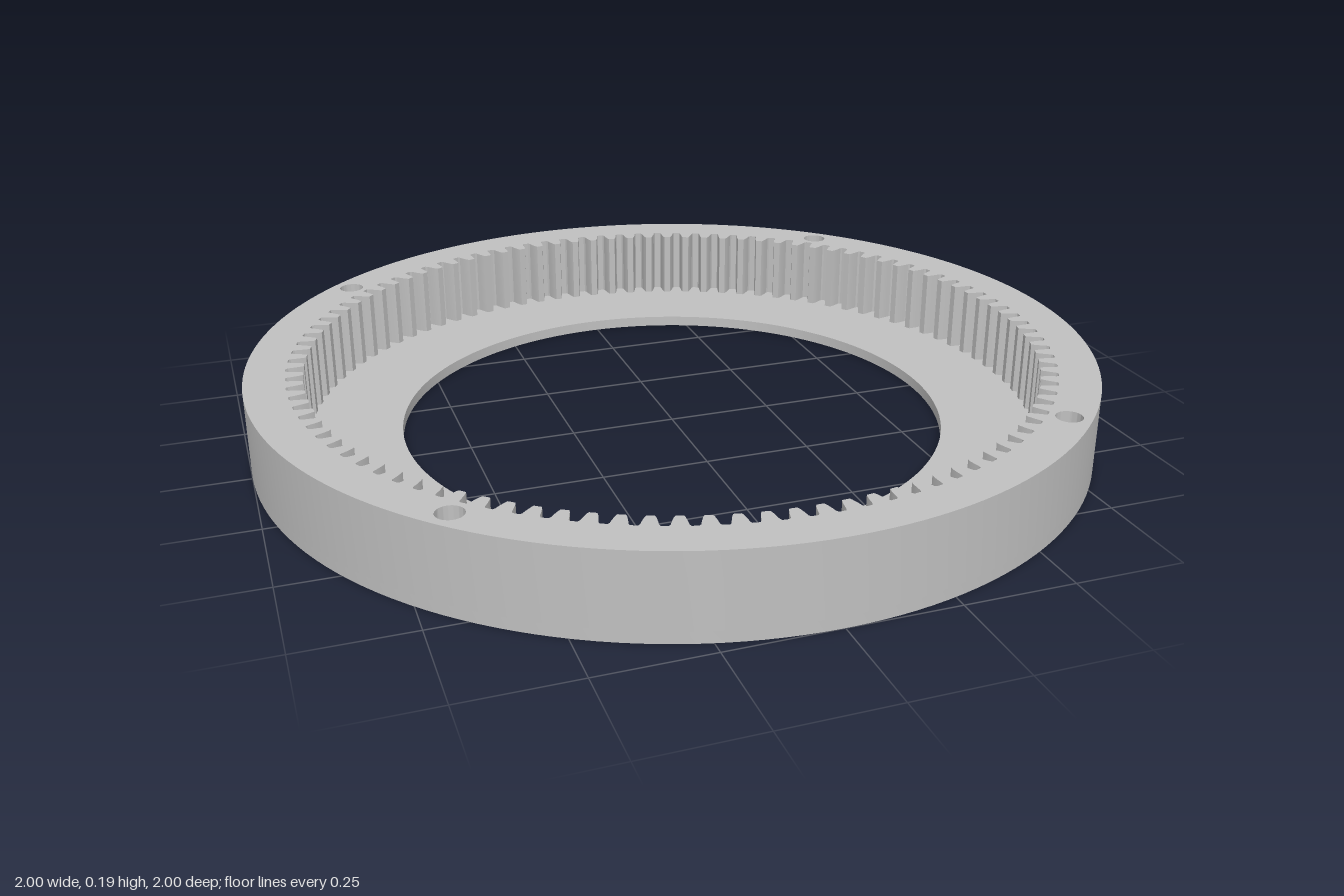
import * as THREE from 'three';
import { toCreasedNormals } from 'three/addons/utils/BufferGeometryUtils.js';

const HEIGHT = 0.195, FLOOR = 0.026, TEETH = 100;
const TIP = 0.866, ROOT = 0.906;

function circle(radius, x = 0, y = 0) {
  return new THREE.Path().absarc(x, y, radius, 0, Math.PI * 2, true);
}

// Closed toothed outline of the internal gear
function toothedOutline() {
  const step = (Math.PI * 2) / TEETH;
  // [fraction of one pitch, radius], tooth tip centred on zero
  const profile = [
    [-0.15, TIP], [0.15, TIP], [0.2, TIP + 0.006], [0.27, 0.888],
    [0.31, ROOT - 0.005], [0.37, ROOT], [0.63, ROOT], [0.69, ROOT - 0.005],
    [0.73, 0.888], [0.8, TIP + 0.006],
  ];
  const points = [];
  for (let i = 0; i < TEETH; i++) {
    for (const [f, r] of profile) {
      const a = (i + f) * step;
      points.push(new THREE.Vector2(Math.cos(a) * r, Math.sin(a) * r));
    }
  }
  return new THREE.Path(points);
}

// Flat disc with the given opening and four screw holes, raised upwards
function plate(opening, bottom, top) {
  const shape = new THREE.Shape().absarc(0, 0, 1, 0, Math.PI * 2, false);
  shape.holes.push(opening);
  for (const x of [-1, 1]) {
    for (const y of [-1, 1]) shape.holes.push(circle(0.03, x * 0.672, y * 0.672));
  }
  const geometry = new THREE.ExtrudeGeometry(shape, {
    depth: top - bottom, bevelEnabled: false, curveSegments: 80,
  });
  geometry.rotateX(-Math.PI / 2).translate(0, bottom, 0);
  return toCreasedNormals(geometry, 0.35);
}

export function createModel() {
  const group = new THREE.Group();
  group.name = 'ringGear';
  const grey = new THREE.MeshStandardMaterial({ color: 0xc0c0c0 });
  grey.name = 'grey';

  // Thin floor with the large central opening
  const floor = new THREE.Mesh(plate(circle(0.65), 0, FLOOR), grey);
  floor.name = 'floor';

  // Outer wall with inward teeth
  const ring = new THREE.Mesh(plate(toothedOutline(), FLOOR, HEIGHT), grey);
  ring.name = 'toothedRing';

  group.add(floor, ring);
  return group;
}
